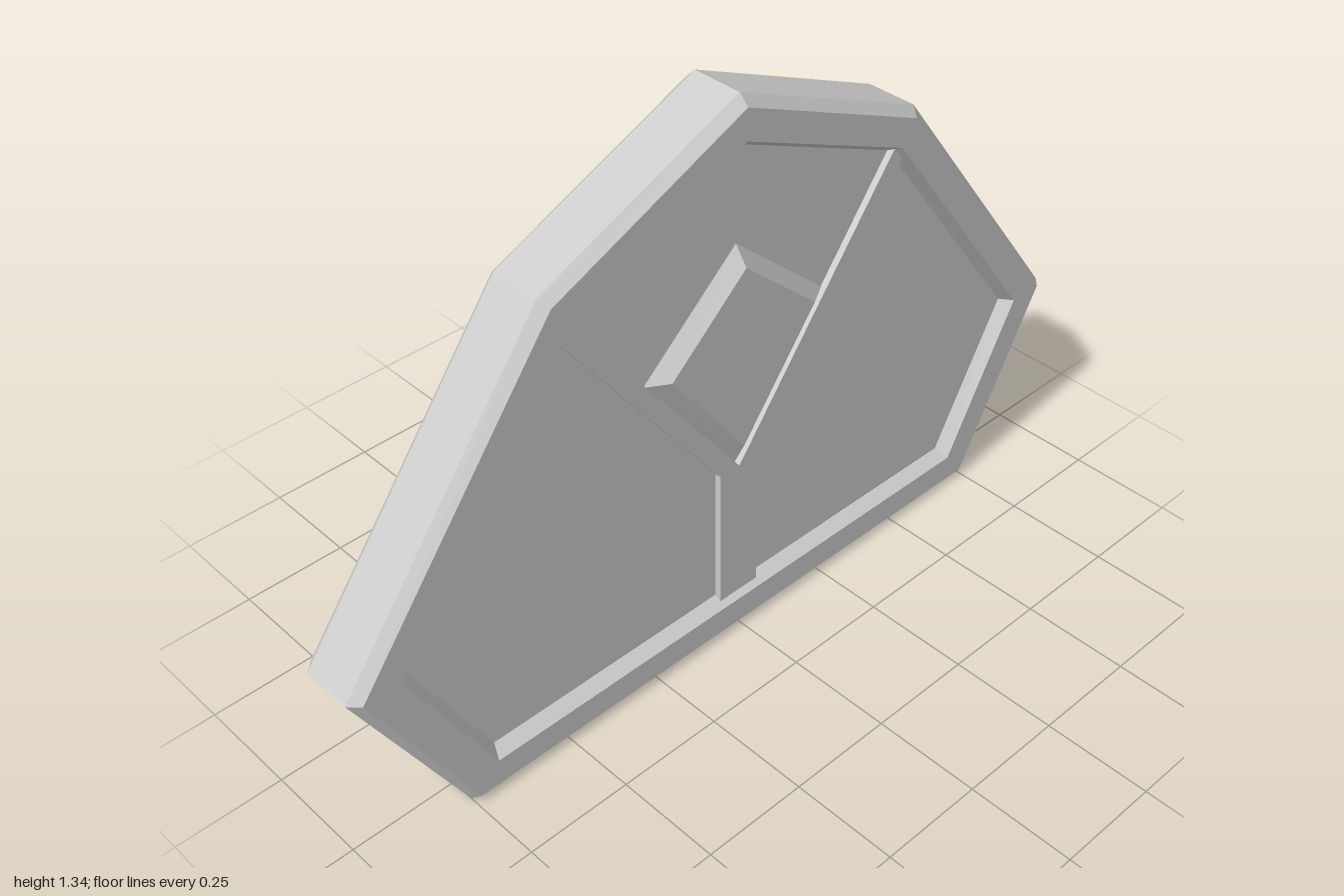
import * as THREE from 'three';

const material = new THREE.MeshStandardMaterial({ color: 0xcccccc, flatShading: true });

// Right half of an outline (bottom to top centre) mirrored into a full counter-clockwise loop
function mirrored(half) {
  const left = half.filter(([x]) => x > 0).reverse().map(([x, y]) => [-x, y]);
  return [...half, ...left];
}

// Skin through matching convex loops, each { loop, z }, closed by a cap at both ends
function loft(rings) {
  const pos = [];
  const n = rings[0].loop.length;
  const put = (ring, i) => pos.push(...ring.loop[i % n], ring.z);
  for (let k = 0; k < rings.length - 1; k++) {
    const a = rings[k], b = rings[k + 1];
    for (let i = 0; i < n; i++) {
      put(a, i); put(a, i + 1); put(b, i + 1);
      put(a, i); put(b, i + 1); put(b, i);
    }
  }
  const first = rings[0], last = rings[rings.length - 1];
  for (let i = 1; i < n - 1; i++) {
    put(first, 0); put(first, i + 1); put(first, i);
    put(last, 0); put(last, i); put(last, i + 1);
  }
  const geometry = new THREE.BufferGeometry();
  geometry.setAttribute('position', new THREE.Float32BufferAttribute(pos, 3));
  geometry.computeVertexNormals();
  return geometry;
}

function part(name, geometry) {
  const mesh = new THREE.Mesh(geometry, material);
  mesh.name = name;
  return mesh;
}

const FACE = 0.083, SIDE = 0.06, FLOOR = 0.053, RIB = 0.068;

export function createModel() {
  const model = new THREE.Group();
  model.name = 'badge';

  // Chamfered body with a sunken panel on both faces
  const outer = mirrored([[0.75, 0], [1, 0.45], [0.5, 1.115], [0, 1.335]]);
  const chamfer = mirrored([[0.74, 0.02], [0.976, 0.45], [0.487, 1.097], [0, 1.312]]);
  const rimInner = mirrored([[0.69, 0.085], [0.89, 0.45], [0.448, 1.043], [0, 1.24]]);
  const floor = mirrored([[0.677, 0.105], [0.868, 0.45], [0.436, 1.03], [0, 1.222]]);
  model.add(part('body', loft([
    { loop: floor, z: -FLOOR }, { loop: rimInner, z: -FACE },
    { loop: chamfer, z: -FACE }, { loop: outer, z: -SIDE },
    { loop: outer, z: SIDE }, { loop: chamfer, z: FACE },
    { loop: rimInner, z: FACE }, { loop: floor, z: FLOOR },
  ])));

  // Y-shaped rib, its ends buried in the rim
  const ribOutline = [
    [-0.055, 0.09], [0.055, 0.09], [0.055, 0.45], [0.47, 1.01], [0.441, 1.038],
    [0, 0.45], [-0.441, 1.038], [-0.47, 1.01], [-0.055, 0.45],
  ].map(([x, y]) => new THREE.Vector2(x, y));
  const ribGeometry = new THREE.ExtrudeGeometry(new THREE.Shape(ribOutline), {
    depth: RIB - 0.04, bevelEnabled: false,
  }).translate(0, 0, 0.04);

  // Raised kite with sloping sides
  const kiteGeometry = loft([
    { loop: mirrored([[0, 0.45], [0.25, 0.78], [0, 1.0]]), z: FLOOR },
    { loop: mirrored([[0, 0.515], [0.2, 0.78], [0, 0.957]]), z: FACE },
  ]);

  // The same relief on the front and back
  for (const [name, angle] of [['front', 0], ['back', Math.PI]]) {
    const relief = new THREE.Group();
    relief.name = name + 'Relief';
    relief.add(part(name + 'Rib', ribGeometry), part(name + 'Kite', kiteGeometry));
    relief.rotation.y = angle;
    model.add(relief);
  }
  return model;
}
